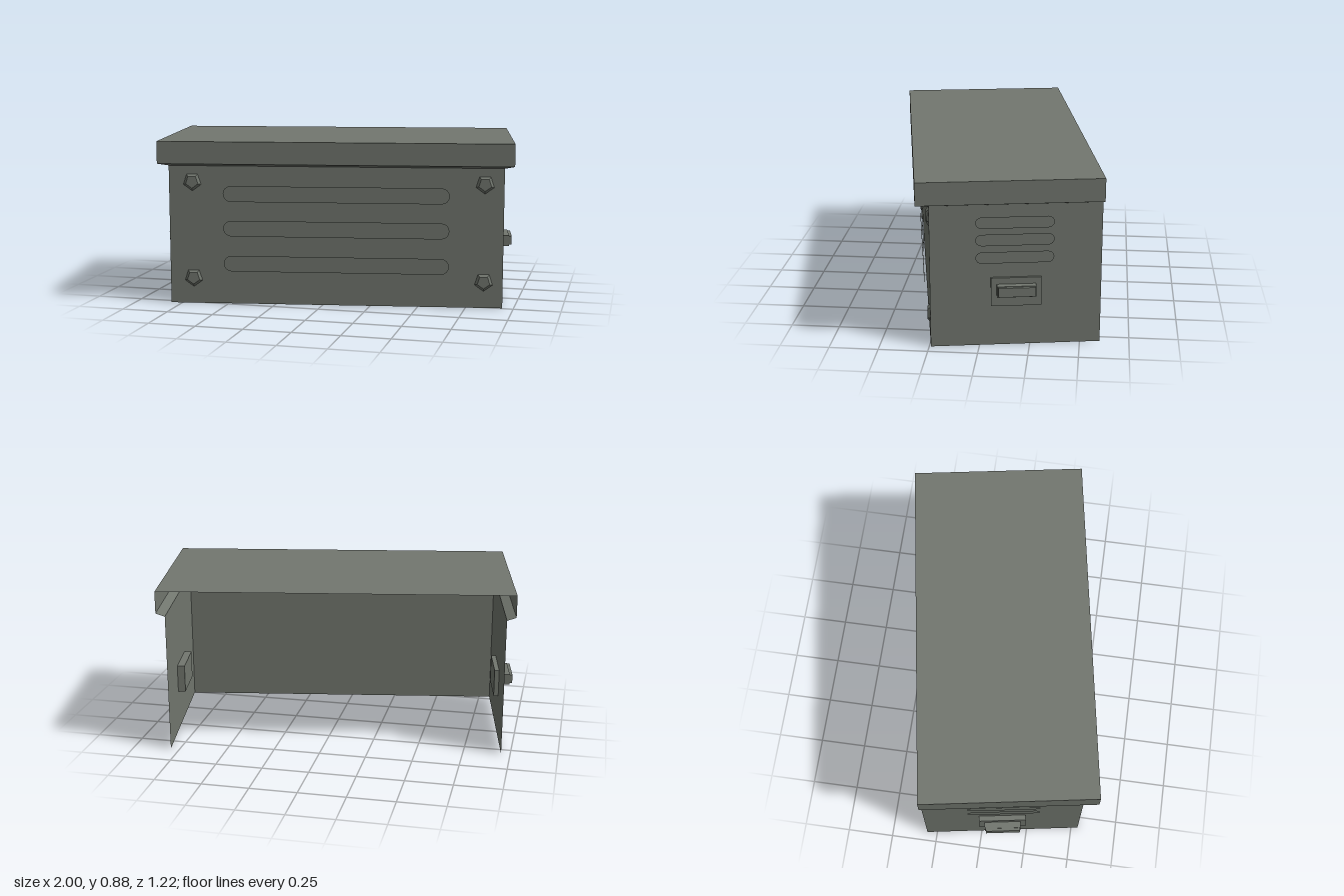
import * as THREE from 'three';

const metal = new THREE.MeshStandardMaterial({ color: 0x72776f, flatShading: true, side: THREE.DoubleSide });

function add(parent, name, geometry, x = 0, y = 0, z = 0) {
  const mesh = new THREE.Mesh(geometry, metal);
  mesh.name = name;
  mesh.position.set(x, y, z);
  parent.add(mesh);
  return mesh;
}

// Sheet-metal skin open at the back: U-shaped sections [halfWidth, front, back, y] joined bottom to top
function sheet(sections) {
  const rows = sections.map(([w, f, b, y]) => [[-w, y, b], [-w, y, f], [w, y, f], [w, y, b]]);
  const pos = [];
  const quad = (a, b, c, d) => pos.push(...a, ...b, ...c, ...a, ...c, ...d);
  for (let r = 0; r < rows.length - 1; r++) {
    for (let i = 0; i < 3; i++) quad(rows[r][i], rows[r][i + 1], rows[r + 1][i + 1], rows[r + 1][i]);
  }
  return { pos, quad, last: rows[rows.length - 1] };
}

function toGeometry(pos) {
  const g = new THREE.BufferGeometry();
  g.setAttribute('position', new THREE.Float32BufferAttribute(pos, 3));
  g.computeVertexNormals();
  return g;
}

// Flat long slot with rounded ends
function slot(length, height) {
  const r = height / 2, h = length / 2 - r;
  const s = new THREE.Shape();
  s.absarc(h, 0, r, -Math.PI / 2, Math.PI / 2, false);
  s.absarc(-h, 0, r, Math.PI / 2, Math.PI * 1.5, false);
  return new THREE.ShapeGeometry(s, 4);
}

export function createModel() {
  const root = new THREE.Group();
  root.name = 'metalBox';
  const box = new THREE.Group();
  box.name = 'box';
  box.rotation.y = 0.167;
  root.add(box);

  // Three walls, without floor or back
  const W = 0.888, FRONT = 0.395, BACK = -0.46;
  add(box, 'walls', toGeometry(sheet([[W, FRONT, BACK, 0], [W, FRONT, BACK, 0.745]]).pos));

  // Overhanging lid with sloped underside
  const lid = sheet([[W, FRONT, BACK, 0.745], [0.936, 0.462, -0.462, 0.762], [0.936, 0.462, -0.462, 0.88]]);
  const [bl, fl, fr, br] = lid.last;
  lid.quad(fl, fr, br, bl);
  add(box, 'lid', toGeometry(lid.pos));

  // Front slots
  for (const y of [0.222, 0.412, 0.598]) add(box, 'frontSlot', slot(1.2, 0.085), 0.004, y, 0.416);

  // Five-sided bolts at the front corners
  for (const x of [-0.763, 0.787]) {
    for (const y of [0.14, 0.66]) {
      const bolt = add(box, 'bolt', new THREE.CylinderGeometry(0.035, 0.05, 0.012, 5), x, y, FRONT + 0.006);
      bolt.rotation.x = Math.PI / 2;
    }
  }

  // Both ends: three slots, and a handle on a mounting plate
  for (const s of [-1, 1]) {
    const end = new THREE.Group();
    end.name = s > 0 ? 'leftEnd' : 'rightEnd';
    end.position.set(s * W, 0, -0.033);
    end.rotation.y = s * Math.PI / 2;
    box.add(end);
    for (const y of [0.472, 0.564, 0.654]) add(end, 'endSlot', slot(0.39, 0.06), -s * 0.007, y, 0.01);

    const handle = new THREE.Group();
    handle.name = 'handle';
    handle.position.set(0, 0.29, s > 0 ? 0 : 0.015);
    end.add(handle);
    add(handle, 'handlePlate', new THREE.BoxGeometry(0.252, 0.15, 0.053), 0, 0, -0.0135);
    add(handle, 'handleBase', new THREE.BoxGeometry(0.195, 0.058, 0.034), 0, 0.013, 0.03);
    add(handle, 'handleGrip', new THREE.BoxGeometry(0.185, 0.048, 0.016), 0, 0.015, 0.054);
  }
  return root;
}
